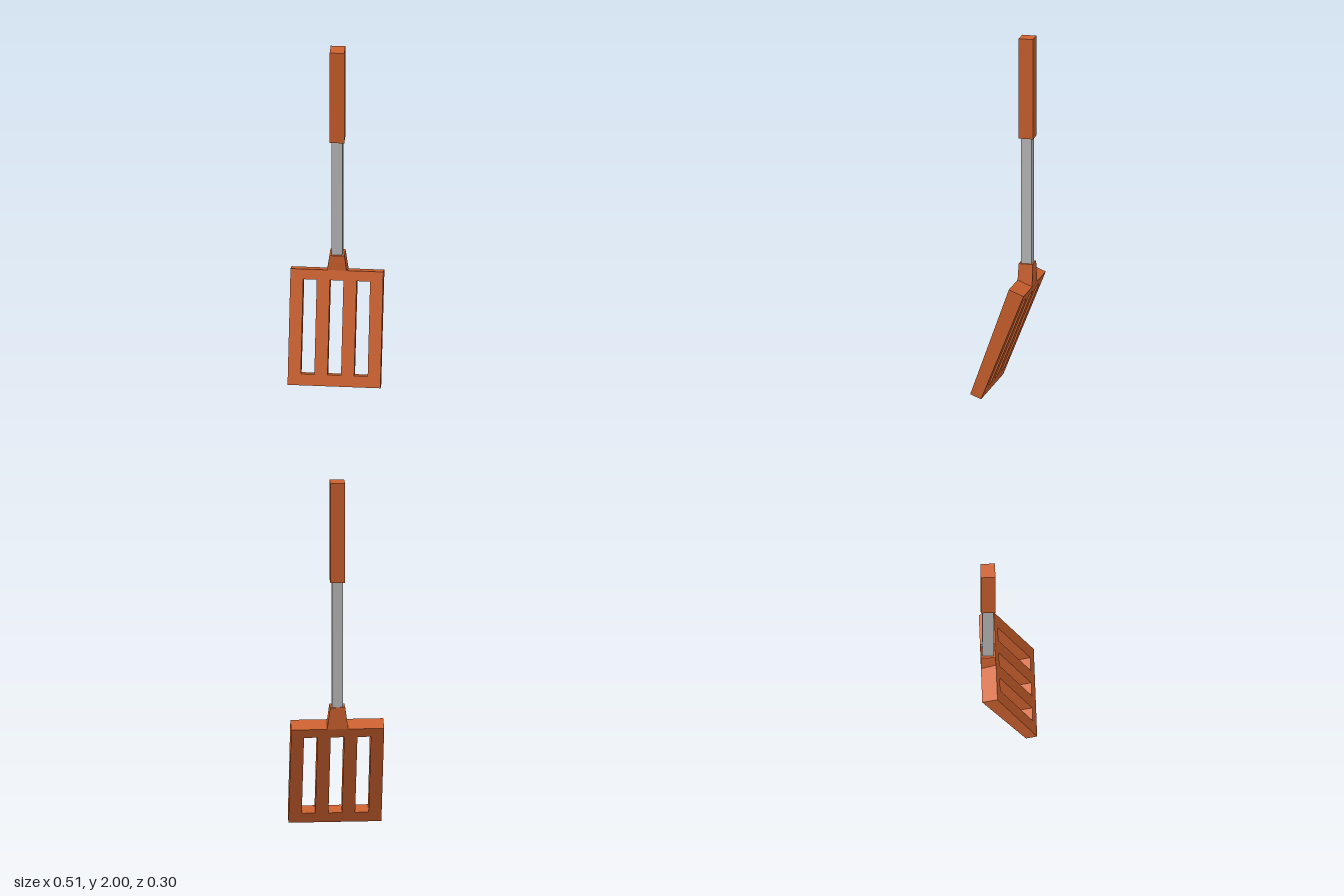
import * as THREE from 'three';

const orange = new THREE.MeshStandardMaterial({ color: 0xd0622e });
orange.name = 'orange plastic';
const steel = new THREE.MeshStandardMaterial({ color: 0xbfbfbf });
steel.name = 'grey steel';

const lerp = THREE.MathUtils.lerp;
const AXIS_Z = -0.11;

// Move every vertex by a rule, then restore flat normals
function reshape(geometry, rule) {
  const flat = geometry.index ? geometry.toNonIndexed() : geometry;
  const pos = flat.attributes.position;
  for (let i = 0; i < pos.count; i++) {
    pos.setXYZ(i, ...rule(pos.getX(i), pos.getY(i), pos.getZ(i)));
  }
  flat.computeVertexNormals();
  return flat;
}

function rectangle(path, x0, y0, x1, y1) {
  path.moveTo(x0, y0);
  path.lineTo(x1, y0);
  path.lineTo(x1, y1);
  path.lineTo(x0, y1);
  path.closePath();
  return path;
}

// Slotted plate, leaning forward and thinning toward its lower edge
function bladeGeometry() {
  const shape = rectangle(new THREE.Shape(), -0.254, 0, 0.254, 1);
  for (const x of [-0.146, 0, 0.146]) {
    shape.holes.push(rectangle(new THREE.Path(), x - 0.037, 0.099, x + 0.037, 0.913));
  }
  const plate = new THREE.ExtrudeGeometry(shape, { depth: 1, bevelEnabled: false });
  return reshape(plate, (x, t, side) => side > 0.5
    ? [x, lerp(0.025, 0.633, t), lerp(0.15, -0.067, t)]
    : [x, lerp(0, 0.6, t), lerp(0.089, -0.15, t)]);
}

// Flared neck whose base follows the sloping top of the blade
function neckGeometry() {
  return reshape(new THREE.BoxGeometry(1, 1, 1), (x, y, z) => {
    const s = Math.sign(x);
    if (y > 0) return [s * 0.041, 0.722, z > 0 ? -0.07 : -0.148];
    return z > 0 ? [s * 0.053, 0.633, -0.067] : [s * 0.058, 0.6, -0.15];
  });
}

// Square bar between two heights
function barGeometry(width, y0, y1) {
  return new THREE.BoxGeometry(width, y1 - y0, width).translate(0, (y0 + y1) / 2, AXIS_Z);
}

export function createModel() {
  const model = new THREE.Group();
  model.name = 'spatula';
  const add = (name, geometry, material) => {
    const mesh = new THREE.Mesh(geometry, material);
    mesh.name = name;
    model.add(mesh);
  };
  add('slottedBlade', bladeGeometry(), orange);
  add('neck', neckGeometry(), orange);
  add('shaft', barGeometry(0.06, 0.72, 1.435), steel);
  add('handle', barGeometry(0.08, 1.433, 2), orange);
  return model;
}
